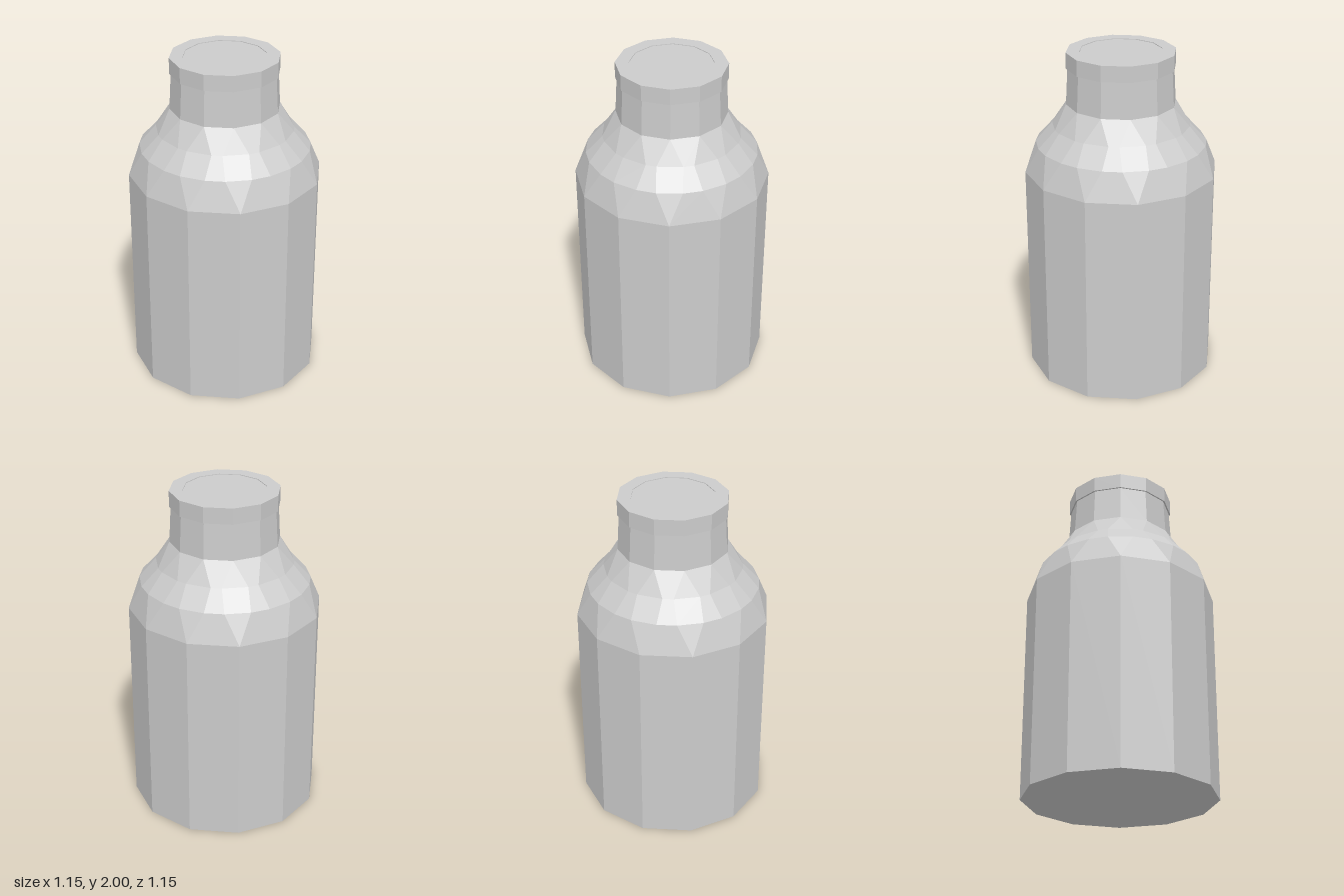
import * as THREE from 'three';

const SIDES = 12;
const STEP = (Math.PI * 2) / SIDES;

// Twelve-sided turned part; profile runs from bottom to top
function turned(name, profile, material) {
  const points = profile.map(([r, y]) => new THREE.Vector2(r, y));
  const mesh = new THREE.Mesh(new THREE.LatheGeometry(points, SIDES), material);
  mesh.name = name;
  return mesh;
}

// Faceted shoulder: every corner of the body splits into a pair of points, then closes again at the neck
function shoulderGeometry() {
  const rings = [
    { r: 0.575, y: 1.28, spread: 0 },
    { r: 0.506, y: 1.45, spread: 8.5 },
    { r: 0.407, y: 1.56, spread: 10.6 },
    { r: 0.325, y: 1.69, spread: 0 },
  ];
  const positions = [];
  const point = (ring, corner, side) => {
    const a = corner * STEP + side * THREE.MathUtils.degToRad(ring.spread);
    return [ring.r * Math.cos(a), ring.y, ring.r * Math.sin(a)];
  };
  const triangle = (...corners) => corners.forEach((p) => positions.push(...p));
  const strip = (lo, hi, c0, s0, c1, s1) => {
    const a = point(lo, c0, s0), b = point(lo, c1, s1);
    const c = point(hi, c0, s0), d = point(hi, c1, s1);
    if (c0 !== c1 || lo.spread) triangle(b, a, c);
    if (c0 !== c1 || hi.spread) triangle(b, c, d);
  };
  for (let i = 0; i < SIDES; i++) {
    for (let k = 0; k < rings.length - 1; k++) {
      strip(rings[k], rings[k + 1], i, -1, i, 1); // corner facet
      strip(rings[k], rings[k + 1], i, 1, i + 1, -1); // facet between corners
    }
  }
  const geometry = new THREE.BufferGeometry();
  geometry.setAttribute('position', new THREE.Float32BufferAttribute(positions, 3));
  geometry.computeVertexNormals();
  return geometry;
}

export function createModel() {
  const bottle = new THREE.Group();
  bottle.name = 'bottle';
  const material = new THREE.MeshStandardMaterial({ color: 0xcccccc, flatShading: true });

  // Straight body with closed base
  bottle.add(turned('body', [[0, 0], [0.575, 0], [0.575, 1.28]], material));

  const shoulder = new THREE.Mesh(shoulderGeometry(), material);
  shoulder.name = 'shoulder';
  bottle.add(shoulder);

  // Slightly tapered neck
  bottle.add(turned('neck', [[0.325, 1.69], [0.313, 1.905]], material));

  // Lid with an overhanging rim and a very shallow inset disc
  bottle.add(turned('lid', [
    [0.3, 1.905], [0.322, 1.905], [0.322, 2], [0.243, 2], [0.243, 1.996], [0, 1.996],
  ], material));

  return bottle;
}
